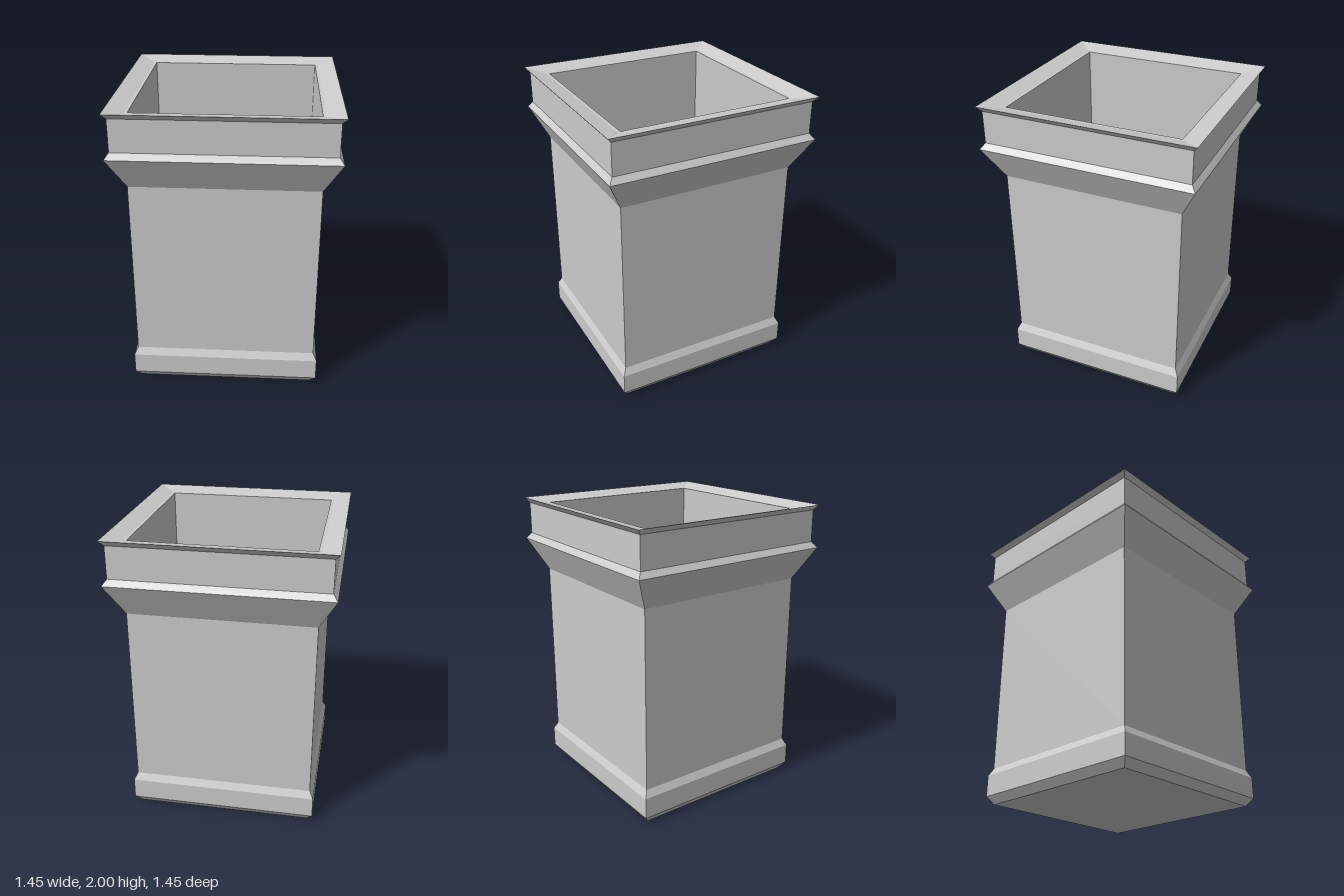
import * as THREE from 'three';

// Square ring surface: profile points are [half width, height]
function squareSweep(name, profile, material) {
  const points = profile.map(([w, y]) => new THREE.Vector2(w * Math.SQRT2, y));
  const geometry = new THREE.LatheGeometry(points, 4, Math.PI / 4).toNonIndexed();
  geometry.computeVertexNormals(); // crisp flat faces
  const mesh = new THREE.Mesh(geometry, material);
  mesh.name = name;
  return mesh;
}

export function createModel() {
  const group = new THREE.Group();
  group.name = 'squarePlanter';
  const stone = new THREE.MeshStandardMaterial({ color: 0xcccccc });
  stone.name = 'pale grey stone';

  const parts = {
    // Closed underside and chamfered foot moulding
    base: [[0, 0], [0.6, 0], [0.64, 0.055], [0.64, 0.2], [0.615, 0.25]],
    // Plain straight body
    shaft: [[0.615, 0.25], [0.615, 1.49]],
    // Flared moulding and upper band
    collar: [[0.615, 1.49], [0.727, 1.71], [0.697, 1.75], [0.697, 1.965]],
    // Overhanging lip, sloping gently inward to a narrow flat ledge
    rim: [[0.697, 1.965], [0.727, 2], [0.61, 1.97], [0.59, 1.97]],
    // Hollow inside with floor
    innerWalls: [[0.59, 1.97], [0.59, 0.06]],
    innerFloor: [[0.59, 0.06], [0, 0.06]],
  };
  for (const [name, profile] of Object.entries(parts)) {
    group.add(squareSweep(name, profile, stone));
  }
  return group;
}
